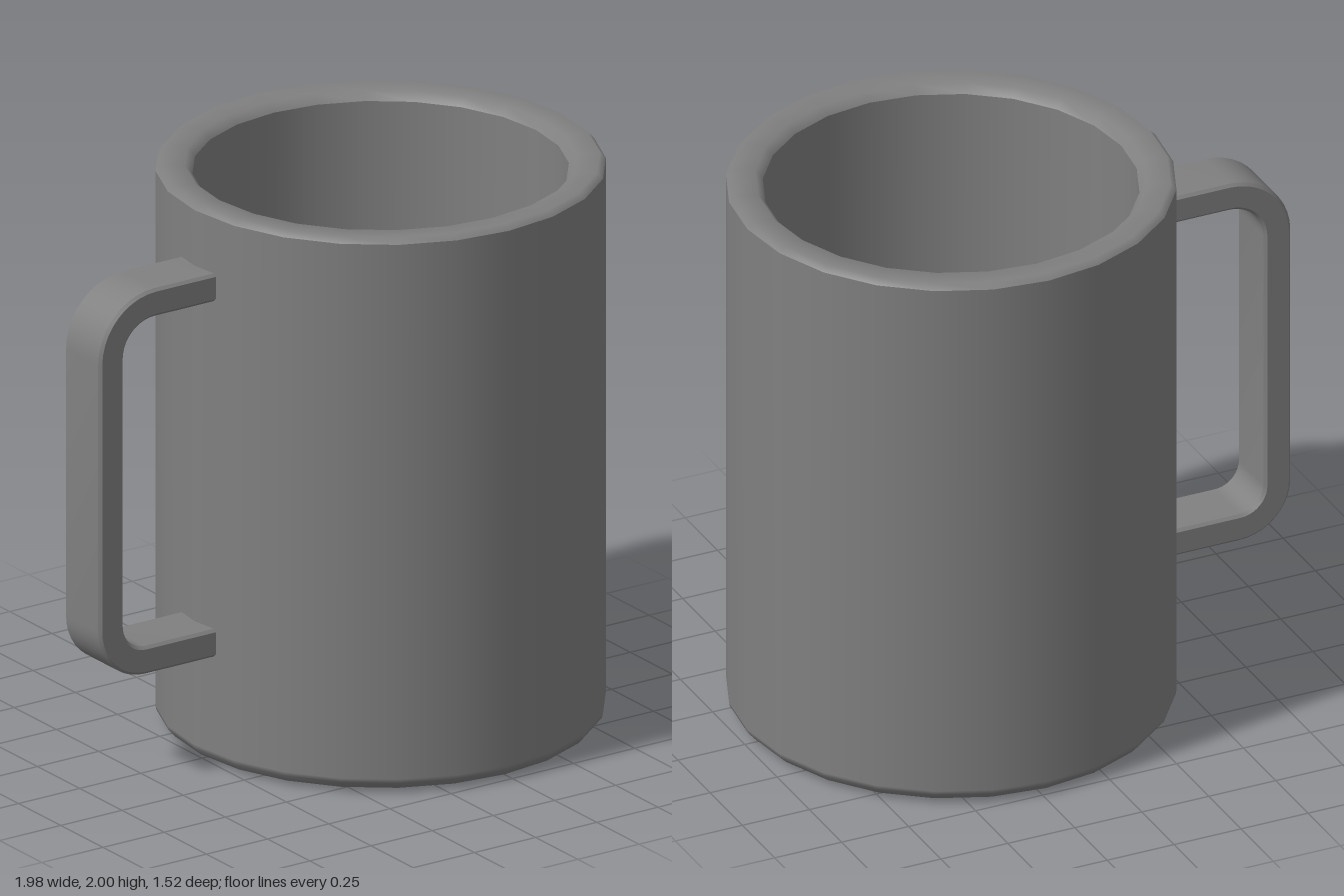
import * as THREE from 'three';
import { toCreasedNormals } from 'three/addons/utils/BufferGeometryUtils.js';

const material = new THREE.MeshStandardMaterial({ color: 0x808080 });

// One turned surface of the cup; separate surfaces keep the edges between them sharp
function turned(name, points) {
  const profile = points.map(([r, y]) => new THREE.Vector2(r, y));
  const mesh = new THREE.Mesh(new THREE.LatheGeometry(profile, 24), material);
  mesh.name = name;
  return mesh;
}

// Hollow cup: outer wall with rounded foot, softened rim, inner wall with floor
function makeCup() {
  const cup = new THREE.Group();
  cup.name = 'cup';
  cup.position.x = 0.23;
  cup.add(
    turned('outerWall', [
      [0, 0], [0.66, 0], [0.70, 0.002], [0.735, 0.015], [0.757, 0.04], [0.76, 0.055], [0.76, 1.98],
    ]),
    turned('rim', [[0.76, 1.98], [0.74, 2], [0.66, 1.995], [0.635, 1.965]]),
    turned('innerWall', [
      [0.635, 1.965], [0.635, 0.2], [0.625, 0.16], [0.595, 0.135], [0.55, 0.13], [0, 0.13],
    ]),
  );
  return cup;
}

// Flat C-shaped handle with rounded corners and a fine bevel
function makeHandle() {
  const bevel = 0.01, end = -0.5;
  const shape = new THREE.Shape();
  // outer edge, top to bottom
  shape.moveTo(end, 1.77);
  shape.lineTo(-0.76, 1.77);
  shape.absarc(-0.76, 1.55, 0.22, Math.PI / 2, Math.PI, false);
  shape.lineTo(-0.98, 0.59);
  shape.absarc(-0.80, 0.59, 0.18, Math.PI, Math.PI * 1.5, false);
  shape.lineTo(end, 0.41);
  // inner edge, bottom to top
  shape.lineTo(end, 0.49);
  shape.lineTo(-0.80, 0.49);
  shape.absarc(-0.80, 0.59, 0.10, Math.PI * 1.5, Math.PI, true);
  shape.lineTo(-0.90, 1.55);
  shape.absarc(-0.76, 1.55, 0.14, Math.PI, Math.PI / 2, true);
  shape.lineTo(end, 1.69);
  const geometry = new THREE.ExtrudeGeometry(shape, {
    depth: 0.19, curveSegments: 5, bevelThickness: bevel, bevelSize: bevel, bevelSegments: 1,
  });
  geometry.translate(0, 0, -0.095);
  const handle = new THREE.Mesh(toCreasedNormals(geometry, 0.5), material);
  handle.name = 'handle';
  return handle;
}

export function createModel() {
  const mug = new THREE.Group();
  mug.name = 'mug';
  mug.add(makeCup(), makeHandle());
  return mug;
}
